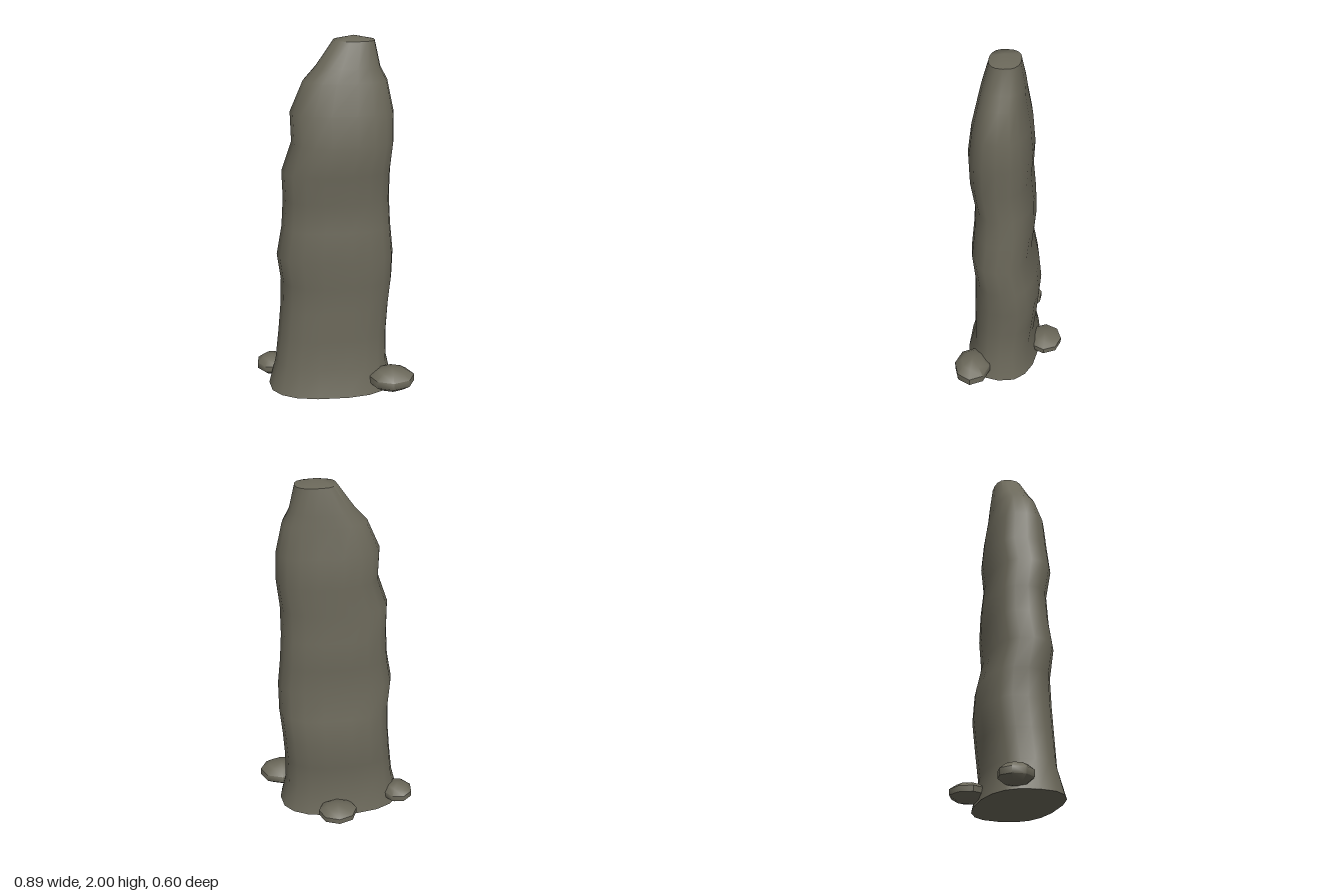
import * as THREE from 'three';
import { toCreasedNormals } from 'three/addons/utils/BufferGeometryUtils.js';

const SIDES = 18;

// Cross-sections of the standing stone: y, xMin, xMax, zBack, zFront
const RINGS = [
  [0, -0.38, 0.335, -0.17, 0.258],
  [0.16, -0.34, 0.30, -0.135, 0.215],
  [0.33, -0.32, 0.30, -0.155, 0.21],
  [0.49, -0.305, 0.31, -0.17, 0.205],
  [0.65, -0.30, 0.325, -0.155, 0.20],
  [0.81, -0.32, 0.325, -0.12, 0.217],
  [0.97, -0.29, 0.31, -0.135, 0.20],
  [1.13, -0.28, 0.30, -0.13, 0.19],
  [1.29, -0.285, 0.30, -0.115, 0.217],
  [1.45, -0.23, 0.317, -0.125, 0.217],
  [1.61, -0.235, 0.312, -0.11, 0.195],
  [1.77, -0.165, 0.277, -0.085, 0.157],
  [1.84, -0.10, 0.24, -0.08, 0.14],
  [1.975, -0.005, 0.21, -0.06, 0.10],
];

// Rounded-rectangle loft closed by a flat base and a low peak
function loftStone() {
  const pos = [], index = [];
  const soften = (v) => Math.sign(v) * Math.pow(Math.abs(v), 0.8);
  for (const [y, x0, x1, z0, z1] of RINGS) {
    for (let i = 0; i < SIDES; i++) {
      const a = (i / SIDES) * Math.PI * 2;
      pos.push(
        (x0 + x1) / 2 + soften(Math.cos(a)) * (x1 - x0) / 2, y,
        (z0 + z1) / 2 + soften(Math.sin(a)) * (z1 - z0) / 2);
    }
  }
  const last = (RINGS.length - 1) * SIDES;
  const base = pos.length / 3, peak = base + 1;
  pos.push(-0.02, 0, 0.04, 0.1, 2, 0.03);
  for (let i = 0; i < SIDES; i++) {
    const j = (i + 1) % SIDES;
    for (let r = 0; r < last; r += SIDES) {
      index.push(r + i, r + SIDES + i, r + j, r + j, r + SIDES + i, r + SIDES + j);
    }
    index.push(base, i, j, peak, last + j, last + i);
  }
  const geo = new THREE.BufferGeometry();
  geo.setAttribute('position', new THREE.Float32BufferAttribute(pos, 3));
  geo.setIndex(index);
  return toCreasedNormals(geo, 0.85);
}

export function createModel() {
  const group = new THREE.Group();
  group.name = 'standingStone';
  const stone = new THREE.MeshStandardMaterial({ color: 0x6b685a });
  stone.name = 'grey brown stone';

  const monolith = new THREE.Mesh(loftStone(), stone);
  monolith.name = 'monolith';
  group.add(monolith);

  // Flattened low-poly rocks around the foot: name, centre, radii, turn
  const rocks = [
    ['frontRock', [0.315, 0.082, 0.197], [0.136, 0.066, 0.108], 0],
    ['sideRock', [-0.36, 0.068, -0.065], [0.093, 0.056, 0.096], 0.3],
    ['backRock', [0.015, 0.058, -0.205], [0.116, 0.05, 0.103], 0],
  ];
  for (const [name, centre, radii, turn] of rocks) {
    const geo = new THREE.SphereGeometry(1, 8, 5);
    geo.scale(...radii);
    geo.deleteAttribute('normal');
    geo.deleteAttribute('uv');
    const rock = new THREE.Mesh(toCreasedNormals(geo, 0.85), stone);
    rock.name = name;
    rock.position.set(...centre);
    rock.rotation.y = turn;
    group.add(rock);
  }
  return group;
}
